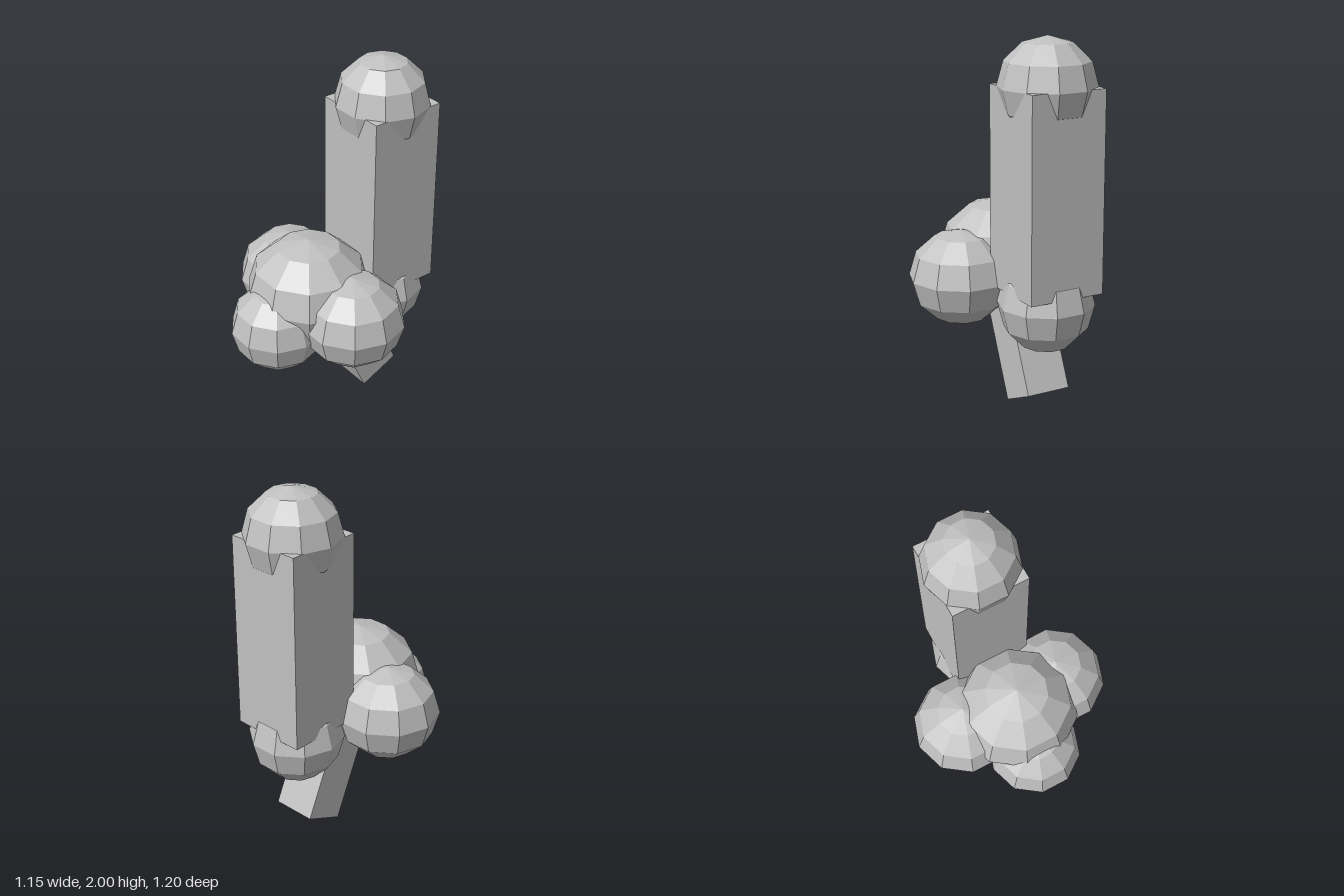
import * as THREE from 'three';

export function createModel() {
  const group = new THREE.Group();
  const grey = new THREE.MeshStandardMaterial({ color: 0xc0c0c0, flatShading: true });
  grey.name = 'light grey';

  function add(name, geometry, x, y, z) {
    const mesh = new THREE.Mesh(geometry, grey);
    mesh.name = name;
    mesh.position.set(x, y, z);
    group.add(mesh);
    return mesh;
  }

  // Faceted ball: ten sides, six bands, slightly flattened where needed
  function ball(name, radius, halfHeight, x, y, z) {
    const geometry = new THREE.SphereGeometry(radius, 10, 6);
    geometry.scale(1, halfHeight / radius, 1);
    return add(name, geometry, x, y, z);
  }

  // Upright column with rounded ends
  add('column', new THREE.BoxGeometry(0.428, 1.073, 0.428), 0, 1.2075, -0.349);
  ball('columnTop', 0.26, 0.258, 0, 1.742, -0.35);
  ball('columnBase', 0.26, 0.262, 0, 0.594, -0.35);

  // Cluster of balls at the front
  ball('centreBall', 0.345, 0.308, 0, 0.755, 0.14);
  ball('frontBall', 0.26, 0.25, 0, 0.597, 0.353);
  for (const [name, side] of [['leftBall', 1], ['rightBall', -1]]) {
    ball(name, 0.287, 0.26, side * 0.287, 0.676, 0.06);
  }

  // Tilted stem underneath, running up into the cluster
  const tilt = 0.425, length = 0.66;
  const stem = add('stem', new THREE.BoxGeometry(0.25, length, 0.246), 0,
    0.051 + Math.cos(tilt) * length / 2, -0.274 + Math.sin(tilt) * length / 2);
  stem.rotation.x = tilt;

  return group;
}
